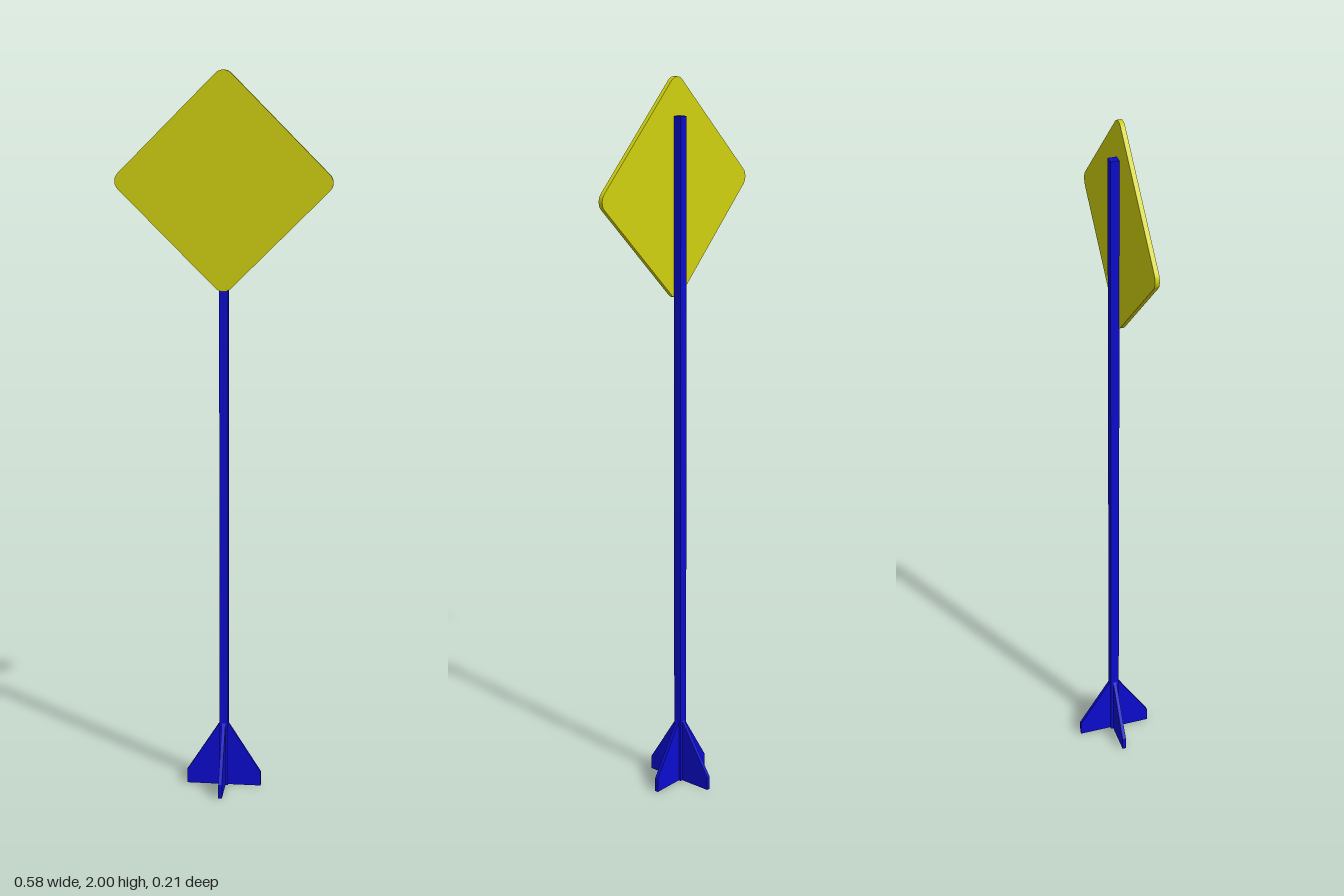
import * as THREE from 'three';

const blue = new THREE.MeshStandardMaterial({ color: 0x0c0cd0 });
const yellow = new THREE.MeshStandardMaterial({ color: 0xd0d010 });

// Square outline with rounded corners
function roundedSquare(side, r) {
  const h = side / 2, c = h - r;
  const shape = new THREE.Shape();
  shape.absarc(c, c, r, 0, Math.PI / 2);
  shape.absarc(-c, c, r, Math.PI / 2, Math.PI);
  shape.absarc(-c, -c, r, Math.PI, Math.PI * 1.5);
  shape.absarc(c, -c, r, Math.PI * 1.5, Math.PI * 2);
  shape.closePath();
  return shape;
}

// Extrude a shape, centred on its own thickness
function plate(shape, depth) {
  return new THREE.ExtrudeGeometry(shape, { depth, bevelEnabled: false, curveSegments: 8 })
    .translate(0, 0, -depth / 2);
}

export function createModel() {
  const model = new THREE.Group();
  model.name = 'signpost';

  // Square post
  const post = new THREE.Mesh(new THREE.BoxGeometry(0.024, 1.9, 0.024), blue);
  post.name = 'post';
  post.position.y = 0.95;
  model.add(post);

  // Diamond sign plate on the front of the post
  const sign = new THREE.Mesh(plate(roundedSquare(0.428, 0.03), 0.012), yellow);
  sign.name = 'signPlate';
  sign.position.set(0, 1.71, 0.017);
  sign.rotation.z = Math.PI / 4;
  model.add(sign);

  // Four base fins around the foot of the post
  const outline = new THREE.Shape([
    [0, 0], [0.105, 0], [0.105, 0.04], [0.01, 0.19], [0, 0.19],
  ].map(([x, y]) => new THREE.Vector2(x, y)));
  const finGeometry = plate(outline, 0.01);
  const base = new THREE.Group();
  base.name = 'base';
  for (let i = 0; i < 4; i++) {
    const fin = new THREE.Mesh(finGeometry, blue);
    fin.name = 'baseFin';
    fin.rotation.y = i * Math.PI / 2;
    base.add(fin);
  }
  model.add(base);

  return model;
}
